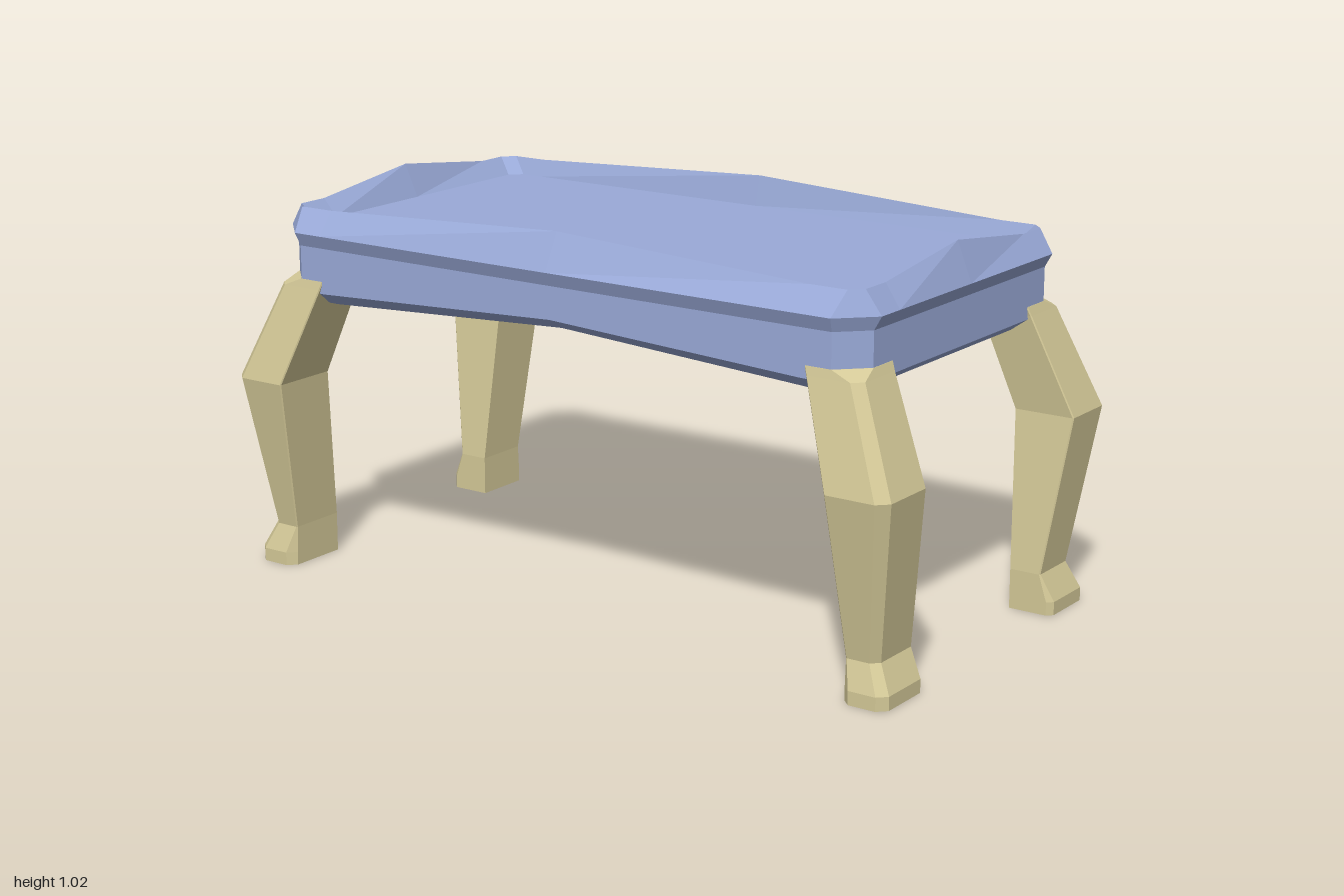
import * as THREE from 'three';

// Skins stacked rings of [x, y, z] points (bottom to top) and caps both ends.
function loft(rings) {
  const pos = [];
  const n = rings[0].length;
  const tri = (...pts) => pts.forEach(p => pos.push(...p));
  for (let j = 0; j < rings.length - 1; j++) {
    for (let i = 0; i < n; i++) {
      const k = (i + 1) % n;
      const a = rings[j][i], b = rings[j][k], c = rings[j + 1][i], d = rings[j + 1][k];
      tri(a, c, b);
      tri(b, c, d);
    }
  }
  const cap = (ring, up, centre) => {
    for (let i = 0; i < n; i++) {
      const k = (i + 1) % n;
      if (up) tri(centre, ring[k], ring[i]);
      else tri(centre, ring[i], ring[k]);
    }
  };
  // the cap centre sits level with the highest rim point, which follows an arch
  const centreOf = ring => [
    ring.reduce((s, p) => s + p[0], 0) / n,
    Math.max(...ring.map(p => p[1])),
    ring.reduce((s, p) => s + p[2], 0) / n,
  ];
  cap(rings[0], false, centreOf(rings[0]));
  cap(rings[rings.length - 1], true, centreOf(rings[rings.length - 1]));
  const g = new THREE.BufferGeometry();
  g.setAttribute('position', new THREE.Float32BufferAttribute(pos, 3));
  g.computeVertexNormals();
  return g;
}

// Chamfered rectangle; the middle of its end and side edges can be raised.
function bodyRing(X, Z, c, y, endRise = 0, sideRise = 0) {
  const xb = 0.33, zb = 0.73;
  return [
    [-X + c, y, -Z], [-xb, y, -Z], [0, y + endRise, -Z], [xb, y, -Z], [X - c, y, -Z],
    [X, y, -Z + c], [X, y, -zb], [X, y + sideRise, 0], [X, y, zb], [X, y, Z - c],
    [X - c, y, Z], [xb, y, Z], [0, y + endRise, Z], [-xb, y, Z], [-X + c, y, Z],
    [-X, y, Z - c], [-X, y, zb], [-X, y + sideRise, 0], [-X, y, -zb], [-X, y, -Z + c],
  ];
}

// Leg section with chamfers: c outer corner, a inner front edge, b outer back edge.
function legRing([y, xi, xo, zi, zo, c, a, b], sx, sz) {
  const ring = [
    [xi, zi], [xo - b, zi], [xo, zi + b], [xo, zo - c],
    [xo - c, zo], [xi + a, zo], [xi, zo - a],
  ].map(([x, z]) => [x * sx, y, z * sz]);
  return sx * sz < 0 ? ring.reverse() : ring;
}

export function createModel() {
  const group = new THREE.Group();
  const blue = new THREE.MeshStandardMaterial({ color: 0x9aaad8 });
  blue.name = 'softBlue';
  const tan = new THREE.MeshStandardMaterial({ color: 0xd4c998 });
  tan.name = 'paleWood';

  // Tabletop tray: arched underside, apron, flared lip, peaked rim, sunken top
  const top = new THREE.Mesh(loft([
    bodyRing(0.43, 0.83, 0.06, 0.725, 0, 0.04),
    bodyRing(0.48, 0.88, 0.07, 0.76, 0, 0.035),
    bodyRing(0.48, 0.88, 0.07, 0.88),
    bodyRing(0.495, 0.9, 0.085, 0.915),
    bodyRing(0.447, 0.86, 0.03, 0.975, 0.042, 0.035),
    bodyRing(0.428, 0.82, 0.03, 0.93),
  ]), blue);
  top.name = 'tabletop';
  group.add(top);

  // Four bowed legs: sole, toe, ankle, knee, shoulder, top
  const sections = [
    [0, 0.319, 0.5, 0.86, 0.98, 0.023, 0.015, 0.022],
    [0.035, 0.319, 0.5, 0.86, 0.98, 0.023, 0.015, 0.022],
    [0.105, 0.319, 0.477, 0.86, 0.945, 0.02, 0.003, 0.003],
    [0.515, 0.364, 0.547, 0.836, 1.0, 0.028, 0.003, 0.003],
    [0.77, 0.328, 0.486, 0.745, 0.89, 0.025, 0.003, 0.003],
    [0.792, 0.323, 0.481, 0.737, 0.881, 0.07, 0.003, 0.003],
  ];
  for (const [sx, sz, name] of [
    [1, 1, 'frontLeftLeg'], [-1, 1, 'frontRightLeg'],
    [1, -1, 'backLeftLeg'], [-1, -1, 'backRightLeg'],
  ]) {
    const leg = new THREE.Mesh(loft(sections.map(s => legRing(s, sx, sz))), tan);
    leg.name = name;
    group.add(leg);
  }
  return group;
}
